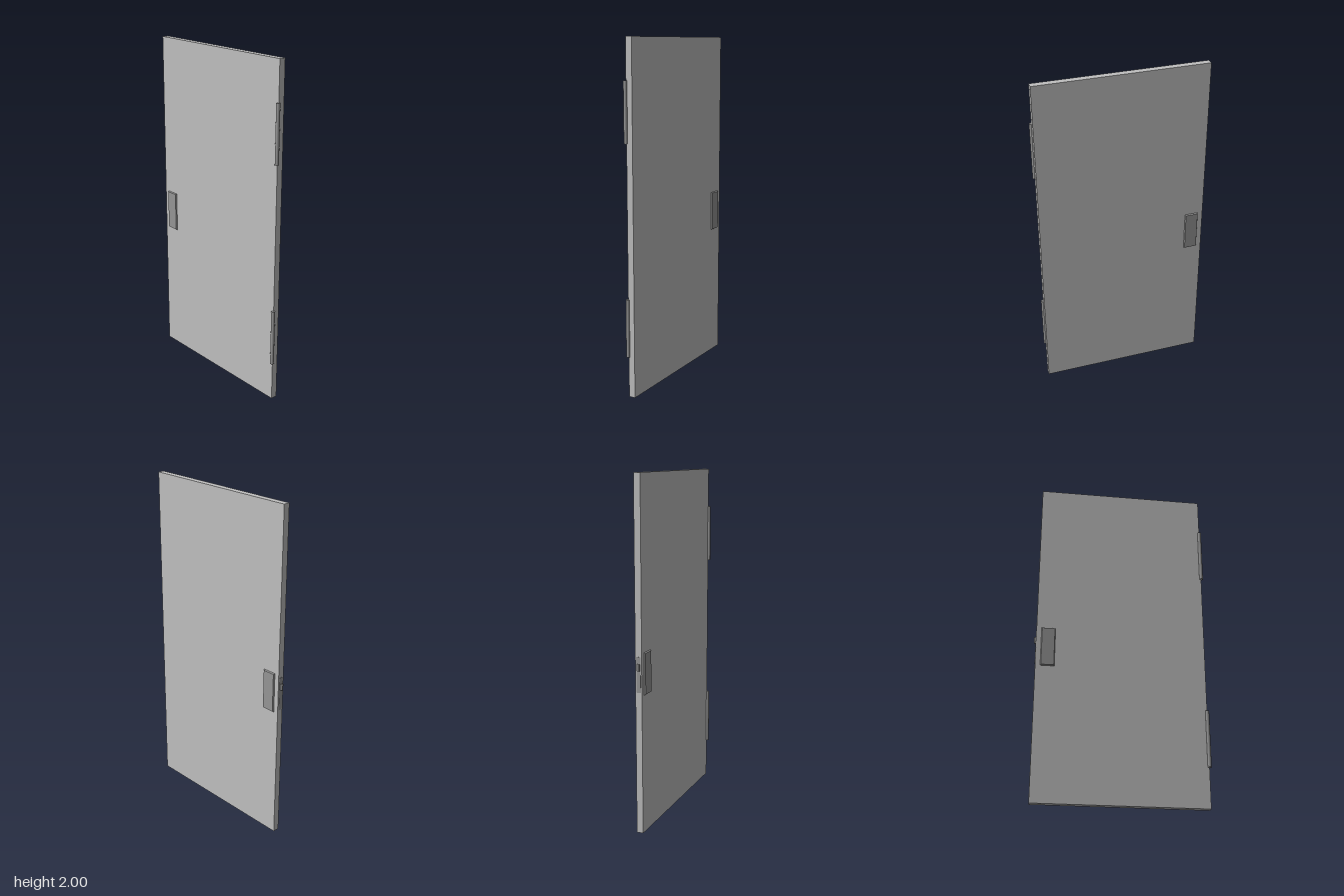
import * as THREE from 'three';

export function createModel() {
  const root = new THREE.Group();
  root.name = 'door';
  const panelGrey = new THREE.MeshStandardMaterial({ color: 0xc0c0c0 });
  panelGrey.name = 'panel grey';
  const metalGrey = new THREE.MeshStandardMaterial({ color: 0x969696 });
  metalGrey.name = 'metal grey';

  const add = (name, geometry, material, x, y, z) => {
    const mesh = new THREE.Mesh(geometry, material);
    mesh.name = name;
    mesh.position.set(x, y, z);
    root.add(mesh);
    return mesh;
  };

  // Door slab
  const midX = 0.0025, thick = 0.038;
  add('panel', new THREE.BoxGeometry(thick, 2, 1), panelGrey, midX, 1, 0);

  // Hinge barrels on the front edge
  for (const [name, y] of [['lowerHinge', 0.403], ['upperHinge', 1.603]]) {
    add(name, new THREE.CylinderGeometry(0.011, 0.011, 0.335, 24), metalGrey, -0.02, y, 0.5);
  }

  // Handle plates with a narrow bevel, one on each face
  const plateDepth = 0.008, bevel = 0.004;
  for (const side of [1, -1]) {
    const geo = new THREE.BoxGeometry(plateDepth, 0.24, 0.082);
    const p = geo.attributes.position;
    for (let i = 0; i < p.count; i++) {
      if (p.getX(i) * side > 0) {
        p.setY(i, p.getY(i) - Math.sign(p.getY(i)) * bevel);
        p.setZ(i, p.getZ(i) - Math.sign(p.getZ(i)) * bevel);
      }
    }
    geo.computeVertexNormals();
    add(side > 0 ? 'leftHandlePlate' : 'rightHandlePlate', geo, metalGrey,
      midX + side * (thick / 2 + plateDepth / 2), 0.922, -0.43);
  }

  // Latch face plate on the back edge
  add('latchPlate', new THREE.BoxGeometry(0.026, 0.2, 0.002), metalGrey, midX, 0.922, -0.5005);

  // Wedge shaped latch bolt
  const wedge = new THREE.Shape();
  wedge.moveTo(-0.007, 0);
  wedge.lineTo(0.009, 0);
  wedge.lineTo(0.009, 0.002);
  wedge.lineTo(-0.003, 0.011);
  wedge.lineTo(-0.007, 0.011);
  const bolt = new THREE.ExtrudeGeometry(wedge, { depth: 0.038, bevelEnabled: false });
  bolt.rotateX(-Math.PI / 2);
  add('latchBolt', bolt, metalGrey, 0.001, 0.945, -0.5);

  return root;
}
